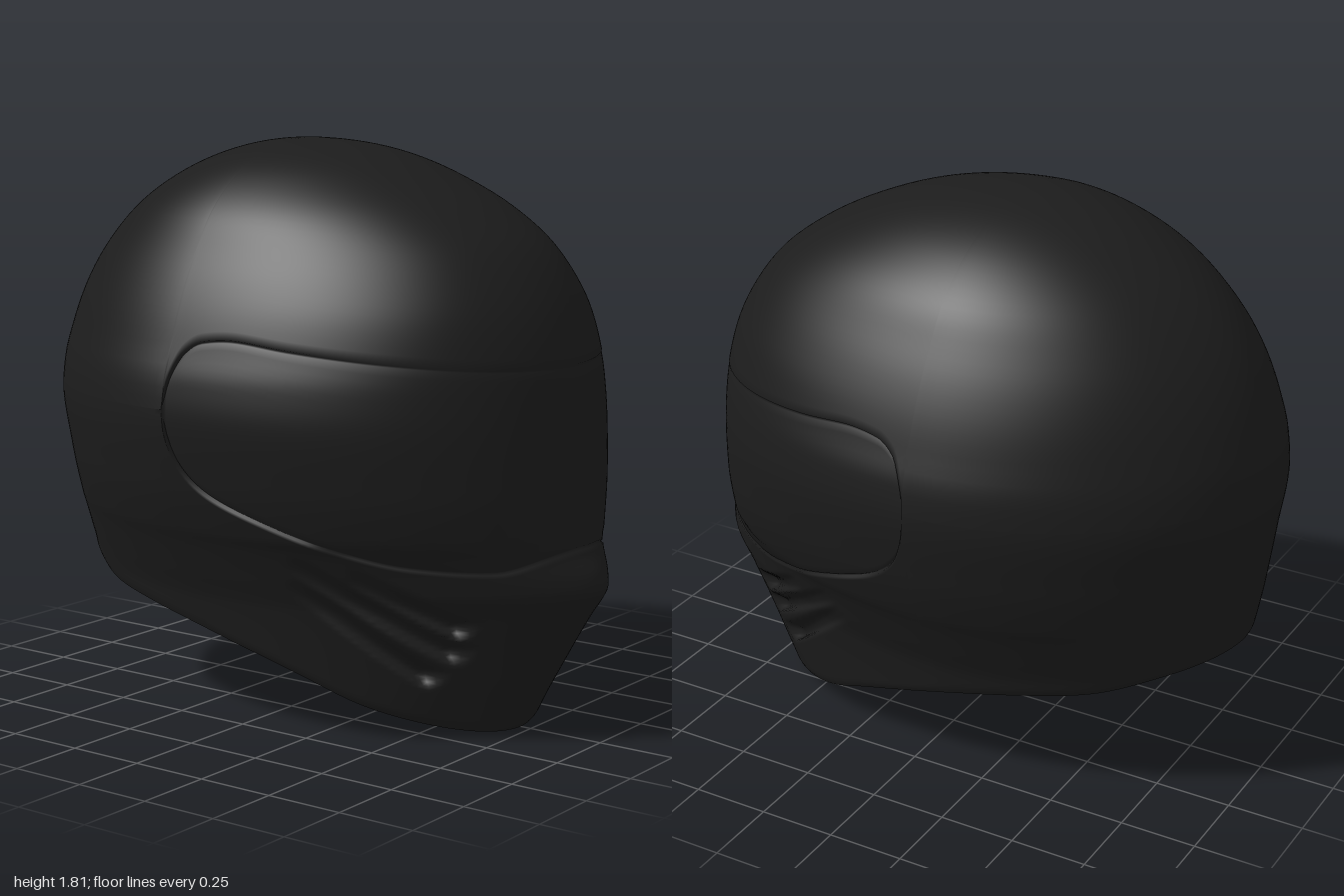
import * as THREE from 'three';

const C = -0.115, TOP = 1.81;
const clamp = (v, a = 0, b = 1) => Math.min(b, Math.max(a, v));
const lerp = (a, b, t) => a + (b - a) * t;

// Smooth one-dimensional curve through rows of [key, value...], keys ascending
function curve(rows, k) {
  const n = rows.length;
  const rise = (i) => (rows[i + 1][k] - rows[i][k]) / (rows[i + 1][0] - rows[i][0]);
  const m = rows.map((_, i) => {
    if (i === 0 || i === n - 1) return rise(i === 0 ? 0 : n - 2);
    const s0 = rise(i - 1), s1 = rise(i);
    return s0 * s1 <= 0 ? 0 : (2 * s0 * s1) / (s0 + s1);
  });
  return (x) => {
    x = clamp(x, rows[0][0], rows[n - 1][0]);
    let i = 0;
    while (i < n - 2 && x > rows[i + 1][0]) i++;
    const h = rows[i + 1][0] - rows[i][0], t = (x - rows[i][0]) / h, t2 = t * t, t3 = t2 * t;
    return (2 * t3 - 3 * t2 + 1) * rows[i][k] + (t3 - 2 * t2 + t) * h * m[i]
      + (3 * t2 - 2 * t3) * rows[i + 1][k] + (t3 - t2) * h * m[i + 1];
  };
}

// Horizontal sections: height, front z, back z, half width, front roundness, length of pointed beak
const sections = [
  [0, 0.72, -0.91, 0.47, 1.95, 0], [0.1, 0.775, -0.91, 0.495, 1.95, 0.02],
  [0.2, 0.835, -0.92, 0.515, 1.95, 0.045], [0.4, 0.955, -0.925, 0.555, 2, 0.1],
  [0.44, 0.983, -0.928, 0.57, 2, 0.115], [0.48, 1, -0.93, 0.588, 2, 0.12],
  [0.52, 0.993, -0.937, 0.605, 2, 0.11], [0.6, 0.955, -0.95, 0.64, 2.05, 0.07],
  [0.64, 0.947, -0.955, 0.66, 2.1, 0.05], [0.8, 0.935, -0.975, 0.71, 2.15, 0.04],
  [1, 0.915, -1, 0.74, 2.15, 0.03], [1.1, 0.903, -0.99, 0.73, 2.15, 0.025],
  [1.2, 0.883, -0.965, 0.7, 2.15, 0.015], [1.3, 0.85, -0.93, 0.665, 2.15, 0.005],
  [1.4, 0.8, -0.88, 0.62, 2.12, 0], [1.5, 0.725, -0.808, 0.563, 2.1, 0],
  [1.6, 0.598, -0.705, 0.497, 2.05, 0], [1.7, 0.41, -0.55, 0.383, 2, 0],
  [1.78, 0.175, -0.345, 0.21, 2, 0], [TOP, C, C, 0, 2, 0],
].map(([y, ...r]) => [-Math.sqrt(TOP - y), ...r]);
const [frontZ, backZ, halfW, round, beak] = [1, 2, 3, 4, 5].map((k) => curve(sections, k));

// Bottom opening and visor outline, as heights along z
const rimY = curve([[-0.93, 0.46], [-0.8, 0.43], [-0.6, 0.375], [-0.4, 0.35], [-0.2, 0.315],
  [0, 0.26], [0.2, 0.19], [0.4, 0.1], [0.6, 0.035], [0.72, 0]], 1);
const byRoot = (rows) => {
  const f = curve(rows.map(([z, y]) => [Math.sqrt(z - C), y]), 1);
  return (z) => f(Math.sqrt(Math.max(0, z - C)));
};
const visorLow = byRoot([[C, 1.02], [-0.1, 0.92], [-0.07, 0.85], [0, 0.78], [0.2, 0.69], [0.4, 0.62],
  [0.6, 0.57], [0.8, 0.555], [0.95, 0.61]]);
const visorHigh = byRoot([[C, 1.02], [-0.1, 1.11], [-0.06, 1.19], [0, 1.225], [0.1, 1.235],
  [0.3, 1.215], [0.6, 1.185], [0.9, 1.155]]);

// Point of the outer surface at an angle and a height
function surface(angle, y) {
  const q = -Math.sqrt(Math.max(0, TOP - y)), c = Math.cos(angle), s = Math.sin(angle);
  const p = c > 0 ? round(q) : 1.85;
  const x = Math.sign(s) * halfW(q) * Math.abs(s) ** (2 / p);
  const along = Math.abs(c) ** (2 / p);
  if (c <= 0) return [x, C - (C - backZ(q)) * along];
  const wedge = Math.max(0, (1 - Math.hypot(s, 0.1)) / 0.9) ** 2;
  return [x, C + (frontZ(q) - C - beak(q)) * along + beak(q) * wedge];
}

// Height at which a column meets a line drawn on the side
function meet(angle, line) {
  let y = 0.6;
  for (let i = 0; i < 40; i++) y = lerp(y, line(surface(angle, y)[1]), 0.6);
  return y;
}

// Cheek vents: slanted grooves, deepest at their front ends
const vents = [[0.7, 0.37, 0.42, 0.54], [0.67, 0.29, 0.25, 0.57], [0.59, 0.21, 0.23, 0.5]];
function ventDepth(z, y) {
  let depth = 0;
  for (const [z0, y0, z1, y1] of vents) {
    const dz = z1 - z0, dy = y1 - y0, len = Math.hypot(dz, dy);
    const t = ((z - z0) * dz + (y - y0) * dy) / (len * len);
    const side = ((z - z0) * dy - (y - y0) * dz) / len;
    if (t < -0.06 || t > 1) continue;
    const along = t < 0 ? 1 + t / 0.06 : (1 - t) ** 0.8;
    depth = Math.max(depth, 0.045 * along * Math.exp(-((side / 0.028) ** 4)));
  }
  return depth;
}

// Columns run around the shell, closer together near the visor's rear edge
const angles = [];
const FRONT = 70, BACK = 80, H = Math.PI / 2;
for (let i = 0; i < FRONT; i++) angles.push(H * (1 - (1 - i / FRONT) ** 1.5));
for (let i = 0; i < BACK; i++) angles.push(H + (Math.PI * i) / BACK);
for (let i = FRONT; i > 0; i--) angles.push(4 * H - H * (1 - (1 - i / FRONT) ** 1.5));

const LOW = 44, MID = 24, HIGH = 36;
const SEAM_A = LOW + 1, SEAM_B = LOW + MID + 3, ROWS = LOW + MID + HIGH + 5;

// Rows of one column as [height, inward depth], following the visor seams
function columnRows(angle) {
  const front = Math.cos(angle) > 1e-6;
  const rim = meet(angle, rimY);
  const lo = front ? meet(angle, visorLow) : 1.02;
  const hi = front ? Math.max(lo, meet(angle, visorHigh)) : 1.02;
  const e = Math.min(0.005, (hi - lo) / 3), g = clamp((hi - lo) / 0.1);
  const recess = g * lerp(0.002, 0.011, Math.sin(angle) ** 4);
  const rows = [];
  for (let k = 0; k <= LOW; k++) rows.push([lerp(rim, lo - e, k / LOW), [0.007, 0.002][k] || 0]);
  rows.push([lo, recess + 0.006 * g]);
  for (let k = 0; k <= MID; k++) rows.push([lerp(lo + e, hi - e, k / MID), recess]);
  rows.push([hi, recess + 0.004 * g]);
  for (let k = 0; k <= HIGH; k++) rows.push([lerp(hi + e, TOP, Math.sin((k / HIGH) * H)), 0]);
  return rows;
}

function shellPoints(inset) {
  const pos = [];
  for (const angle of angles) {
    for (const [y, d] of columnRows(angle)) {
      const [x, z] = surface(angle, y);
      const depth = d + inset + (z > 0.1 ? ventDepth(z, y) : 0);
      const f = 1 - depth / Math.max(0.3, Math.hypot(x, z - C));
      pos.push(x * f, y - inset * clamp((y - 1) / 0.81), C + (z - C) * f);
    }
  }
  return pos;
}

// Faces of the grid; the pieces share vertices so shading runs on across seams
function gridGeometry(pos, flip, keep) {
  const index = [], n = angles.length;
  const at = (i, j) => (j === ROWS - 1 ? j : (i % n) * ROWS + j);
  const tri = (a, b, c) => index.push(...(flip ? [a, c, b] : [a, b, c]));
  for (let i = 0; i < n; i++) {
    const behind = i >= FRONT && i < FRONT + BACK;
    for (let j = 0; j < ROWS - 1; j++) {
      const inVisor = j >= SEAM_A && j < SEAM_B;
      if ((inVisor && behind) || !keep(inVisor)) continue;
      tri(at(i, j), at(i + 1, j), at(i + 1, j + 1));
      if (j < ROWS - 2) tri(at(i, j), at(i + 1, j + 1), at(i, j + 1));
    }
  }
  const geo = new THREE.BufferGeometry();
  geo.setAttribute('position', new THREE.Float32BufferAttribute(pos, 3));
  geo.setIndex(index);
  geo.computeVertexNormals();
  return geo;
}

export function createModel() {
  const group = new THREE.Group();
  const black = new THREE.MeshStandardMaterial({ color: 0x1c1c1c, side: THREE.DoubleSide });
  black.name = 'satin black';
  const add = (name, geo) => {
    const mesh = new THREE.Mesh(geo, black);
    mesh.name = name;
    group.add(mesh);
  };

  // Outer shell and visor
  const outer = shellPoints(0);
  const whole = gridGeometry(outer, false, () => true);
  for (const [name, visor] of [['outerShell', false], ['visor', true]]) {
    const geo = gridGeometry(outer, false, (inVisor) => inVisor === visor);
    geo.setAttribute('normal', whole.getAttribute('normal'));
    add(name, geo);
  }

  // Inner lining
  const inner = shellPoints(0.012);
  add('innerLining', gridGeometry(inner, true, () => true));

  // Edge joining shell and lining around the neck opening
  const pos = [], index = [], n = angles.length;
  for (let i = 0; i < n; i++) {
    const o = i * ROWS * 3, a = i * 2, b = ((i + 1) % n) * 2;
    pos.push(...inner.slice(o, o + 3), ...outer.slice(o, o + 3));
    index.push(a, b, b + 1, a, b + 1, a + 1);
  }
  const edge = new THREE.BufferGeometry();
  edge.setAttribute('position', new THREE.Float32BufferAttribute(pos, 3));
  edge.setIndex(index);
  edge.computeVertexNormals();
  add('neckEdge', edge);
  return group;
}
